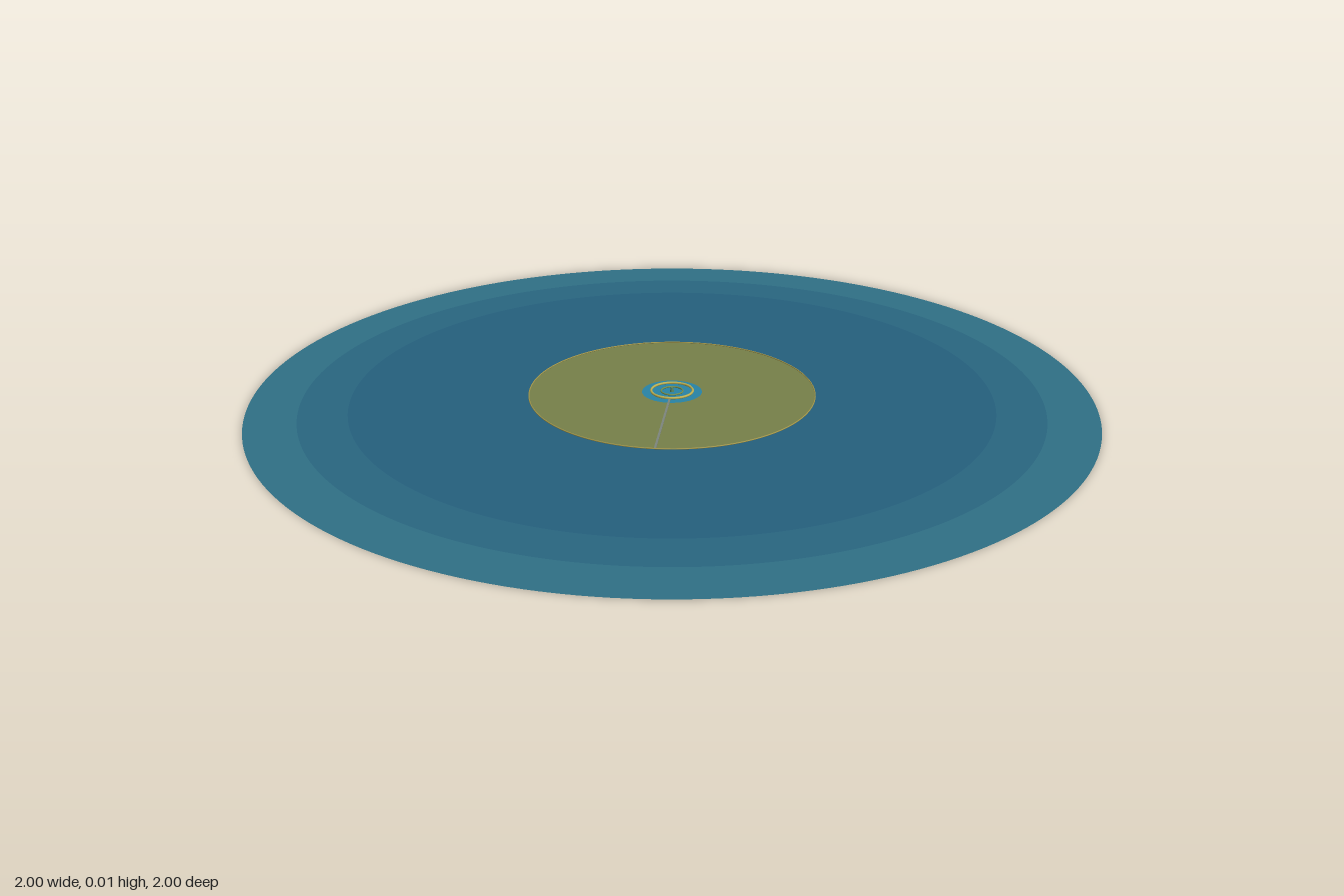
import * as THREE from 'three';

const paint = (color) => new THREE.MeshStandardMaterial({ color, side: THREE.DoubleSide });

export function createModel() {
  const model = new THREE.Group();

  function add(name, geometry, color, y = 0) {
    const mesh = new THREE.Mesh(geometry, paint(color));
    mesh.name = name;
    mesh.position.y = y;
    model.add(mesh);
    return mesh;
  }

  // Flat concentric zones, each meeting the next without overlap
  const zones = [
    ['outerZone', 0.88, 1, 0x2f7085],
    ['middleZone', 0.765, 0.88, 0x296680],
    ['innerZone', 0.343, 0.765, 0x245f7d],
    ['centralDisc', 0.072, 0.343, 0x768049],
    ['hubDisc', 0, 0.072, 0x2883a5],
  ];
  for (const [name, inner, outer, color] of zones) {
    const shape = new THREE.Shape().absarc(0, 0, outer, 0, Math.PI * 2);
    if (inner > 0) shape.holes.push(new THREE.Path().absarc(0, 0, inner, 0, Math.PI * 2, true));
    add(name, new THREE.ShapeGeometry(shape, 96).rotateX(-Math.PI / 2), color);
  }

  // Fine raised rims around the central disc and on the hub
  const rims = [
    ['discRim', 0.343, 0.0015, 0xa79b4c],
    ['hubRim', 0.05, 0.003, 0xc0b454],
    ['innerHubRim', 0.026, 0.002, 0x75904f],
  ];
  for (const [name, radius, tube, color] of rims) {
    add(name, new THREE.TorusGeometry(radius, tube, 6, 96).rotateX(Math.PI / 2), color, tube);
  }

  // Pointer running from the hub to the front edge of the central disc
  const pointer = add('pointer', new THREE.BoxGeometry(0.005, 0.002, 0.29), 0x7d857c, 0.001);
  pointer.position.z = 0.198;

  // Small pin at the centre
  add('centrePin', new THREE.CylinderGeometry(0.003, 0.005, 0.01, 16), 0x55805c, 0.005);

  return model;
}
